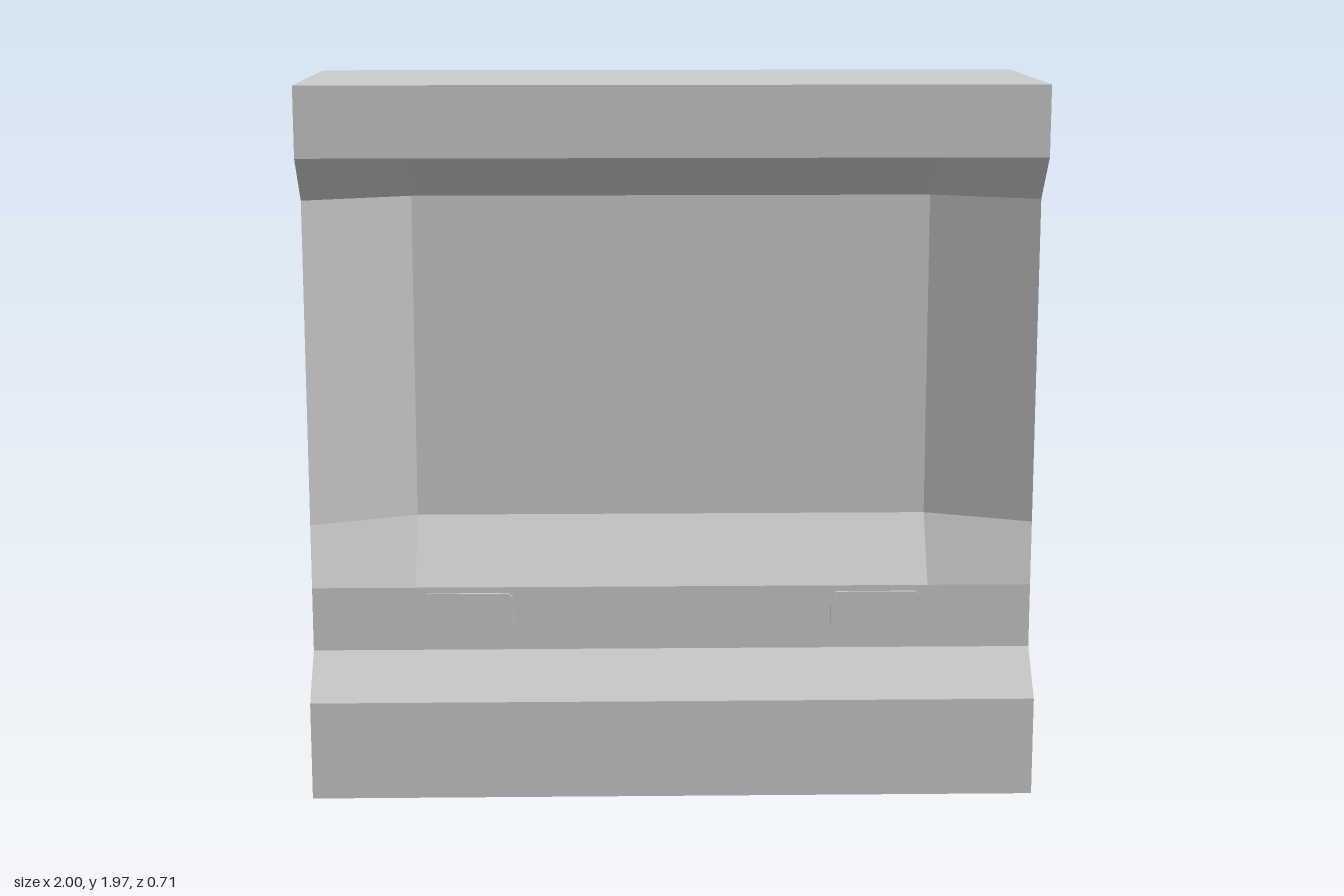
import * as THREE from 'three';

// End profile from bottom to top: [height, depth at the ends, depth across the middle]
const ROWS = [
  [0, 0.355, 0.355], [0.275, 0.355, 0.355], [0.393, 0.24, 0.24], [0.572, 0.24, 0.24],
  [0.752, 0.24, 0.12], [1.65, 0.24, 0.12], [1.773, 0.355, 0.355], [1.965, 0.355, 0.355],
];
const COLUMNS = [-1, -0.713, 0.713, 1];
const HEIGHT = 1.965, DEPTH = 0.71;

// Faceted wall face with a recessed centre; each quad gets a single normal
function faceGeometry() {
  const positions = [], normals = [];
  const point = (i, j) => new THREE.Vector3(
    COLUMNS[i], ROWS[j][0], i === 0 || i === 3 ? ROWS[j][1] : ROWS[j][2]);
  for (let j = 0; j < ROWS.length - 1; j++) {
    for (let i = 0; i < 3; i++) {
      const a = point(i, j), b = point(i + 1, j), c = point(i + 1, j + 1), d = point(i, j + 1);
      const n = c.clone().sub(a).cross(d.clone().sub(b)).normalize();
      // Mirror the diagonal on the left-hand column
      const corners = i === 0 ? [a, b, d, b, c, d] : [a, b, c, a, c, d];
      for (const p of corners) {
        positions.push(p.x, p.y, p.z);
        normals.push(n.x, n.y, n.z);
      }
    }
  }
  const g = new THREE.BufferGeometry();
  g.setAttribute('position', new THREE.Float32BufferAttribute(positions, 3));
  g.setAttribute('normal', new THREE.Float32BufferAttribute(normals, 3));
  return g;
}

// Thin rounded access plate
function plateGeometry(w, h, r, depth) {
  const x = w / 2, y = h / 2;
  const s = new THREE.Shape();
  s.moveTo(-x + r, -y);
  s.lineTo(x - r, -y);
  s.absarc(x - r, -y + r, r, -Math.PI / 2, 0);
  s.lineTo(x, y - r);
  s.absarc(x - r, y - r, r, 0, Math.PI / 2);
  s.lineTo(-x + r, y);
  s.absarc(-x + r, y - r, r, Math.PI / 2, Math.PI);
  s.lineTo(-x, -y + r);
  s.absarc(-x + r, -y + r, r, Math.PI, Math.PI * 1.5);
  return new THREE.ExtrudeGeometry(s, { depth, bevelEnabled: false, curveSegments: 4 });
}

export function createModel() {
  const model = new THREE.Group();
  model.name = 'wallSegment';
  const concrete = new THREE.MeshStandardMaterial({ color: 0xcccccc });
  concrete.name = 'light grey';

  const add = (parent, name, geometry) => {
    const mesh = new THREE.Mesh(geometry, concrete);
    mesh.name = name;
    parent.add(mesh);
    return mesh;
  };

  // Front and back faces, each with two plates
  const face = faceGeometry();
  const plate = plateGeometry(0.25, 0.145, 0.02, 0.009);
  for (const side of ['front', 'back']) {
    const half = new THREE.Group();
    half.name = side + 'Side';
    add(half, side + 'Wall', face);
    for (const s of [-1, 1]) {
      add(half, side + (s > 0 ? 'LeftPlate' : 'RightPlate'), plate)
        .position.set(s * 0.568, 0.483, 0.239);
    }
    if (side === 'back') half.rotation.y = Math.PI;
    model.add(half);
  }

  // Flat end caps following the profile
  const outline = [
    ...ROWS.map(([y, z]) => new THREE.Vector2(z, y)),
    ...ROWS.map(([y, z]) => new THREE.Vector2(-z, y)).reverse(),
  ];
  const cap = new THREE.ShapeGeometry(new THREE.Shape(outline));
  for (const s of [-1, 1]) {
    const end = add(model, s > 0 ? 'leftEnd' : 'rightEnd', cap);
    end.position.x = s;
    end.rotation.y = s * Math.PI / 2;
  }

  // Top and underside
  const slab = new THREE.PlaneGeometry(2, DEPTH);
  const top = add(model, 'top', slab);
  top.position.y = HEIGHT;
  top.rotation.x = -Math.PI / 2;
  add(model, 'underside', slab).rotation.x = Math.PI / 2;

  return model;
}
